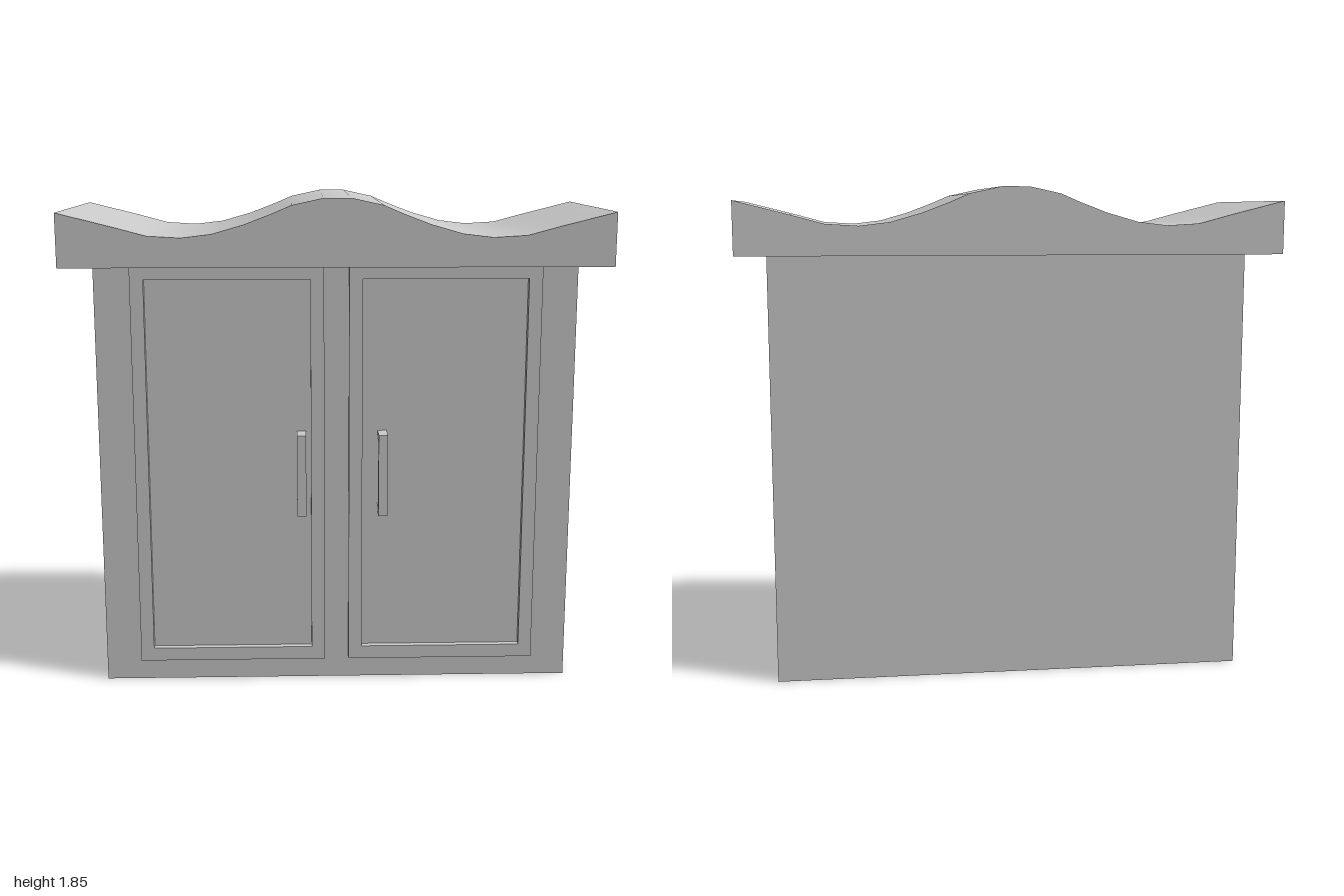
import * as THREE from 'three';
import { toCreasedNormals } from 'three/addons/utils/BufferGeometryUtils.js';

const material = new THREE.MeshStandardMaterial({ color: 0xcccccc, side: THREE.DoubleSide });

const TOP = 1.605;      // top of the cabinet body
const HALF_W = 0.89;
const BODY_Z = 0.305;   // front plane of the body
const DOOR_Z = 0.336;   // front plane of the door frames
const PANEL_Z = 0.31;   // recessed door panels
const FRAME = 0.05;
const DOOR_Y = 0.085;

function addMesh(parent, name, geometry) {
  const mesh = new THREE.Mesh(geometry, material);
  mesh.name = name;
  parent.add(mesh);
  return mesh;
}

// Box between two corners, keeping only the listed faces (0..5 = +x -x +y -y +z -z)
function boxFaces(x0, x1, y0, y1, z0, z1, faces = [0, 1, 2, 3, 4, 5]) {
  const g = new THREE.BoxGeometry(x1 - x0, y1 - y0, z1 - z0);
  g.translate((x0 + x1) / 2, (y0 + y1) / 2, (z0 + z1) / 2);
  const index = Array.from(g.index.array);
  g.setIndex(faces.flatMap(f => index.slice(f * 6, f * 6 + 6)));
  g.clearGroups();
  return g;
}

function polygon(points) {
  return new THREE.Shape(points.map(([x, y]) => new THREE.Vector2(x, y)));
}

const rectangle = (x0, x1, y0, y1) => polygon([[x0, y0], [x1, y0], [x1, y1], [x0, y1]]);

function flat(shape, z) {
  return new THREE.ShapeGeometry(shape).translate(0, 0, z);
}

// Raised frame, recessed panel and bar handle
function createDoor(name, x0, x1, handleX) {
  const door = new THREE.Group();
  door.name = name;
  const px0 = x0 + FRAME, px1 = x1 - FRAME;
  const py0 = DOOR_Y + FRAME, py1 = TOP - FRAME;

  const frame = rectangle(x0, x1, DOOR_Y, TOP);
  frame.holes.push(rectangle(px0, px1, py0, py1));
  addMesh(door, 'doorFrame', flat(frame, DOOR_Z));
  addMesh(door, 'doorEdge', boxFaces(x0, x1, DOOR_Y, TOP, BODY_Z, DOOR_Z, [0, 1, 3]));

  // Walls of the recess face inwards
  const recess = boxFaces(px0, px1, py0, py1, PANEL_Z, DOOR_Z, [0, 1, 2, 3]);
  const normal = recess.attributes.normal;
  for (let i = 0; i < normal.array.length; i++) normal.array[i] *= -1;
  recess.setIndex(Array.from(recess.index.array).reverse());
  addMesh(door, 'panelRecess', recess);
  addMesh(door, 'doorPanel', flat(rectangle(px0, px1, py0, py1), PANEL_Z));

  // Handle
  const handle = new THREE.Group();
  handle.name = 'handle';
  const h0 = handleX - 0.017, h1 = handleX + 0.017;
  addMesh(handle, 'handleBar', boxFaces(h0, h1, 0.675, 0.985, 0.37, 0.396));
  for (const y of [0.675, 0.957]) {
    addMesh(handle, 'handlePost', boxFaces(h0, h1, y, y + 0.028, PANEL_Z, 0.37, [0, 1, 2, 3]));
  }
  door.add(handle);
  return door;
}

export function createModel() {
  const model = new THREE.Group();
  model.name = 'cabinet';

  // Body: side and back walls, open underneath
  addMesh(model, 'bodyWalls', boxFaces(-HALF_W, HALF_W, 0, TOP, -BODY_Z, BODY_Z, [0, 1, 5]));

  // Front face, notched where the doors sit
  const doors = [
    ['rightDoor', -0.755, -0.047, -0.133],
    ['leftDoor', 0.045, 0.755, 0.17],
  ];
  const front = [[HALF_W, 0], [HALF_W, TOP]];
  for (const [, x0, x1] of [...doors].reverse()) {
    front.push([x1, TOP], [x1, DOOR_Y], [x0, DOOR_Y], [x0, TOP]);
  }
  front.push([-HALF_W, TOP], [-HALF_W, 0]);
  addMesh(model, 'bodyFront', flat(polygon(front), BODY_Z));

  for (const d of doors) model.add(createDoor(...d));

  // Cornice with a symmetric wavy top
  const wave = [
    [0.05, 1.85], [0.165, 1.825], [0.235, 1.795], [0.335, 1.757],
    [0.45, 1.724], [0.56, 1.711], [0.68, 1.718], [0.8, 1.75], [1, 1.8],
  ];
  const outline = [
    [-1, TOP], [1, TOP],
    ...[...wave].reverse(),
    ...wave.map(([x, y]) => [-x, y]),
  ];
  const cornice = new THREE.ExtrudeGeometry(polygon(outline), { depth: 0.834, bevelEnabled: false });
  cornice.translate(0, 0, -0.417);
  addMesh(model, 'cornice', toCreasedNormals(cornice, Math.PI / 6));

  return model;
}
